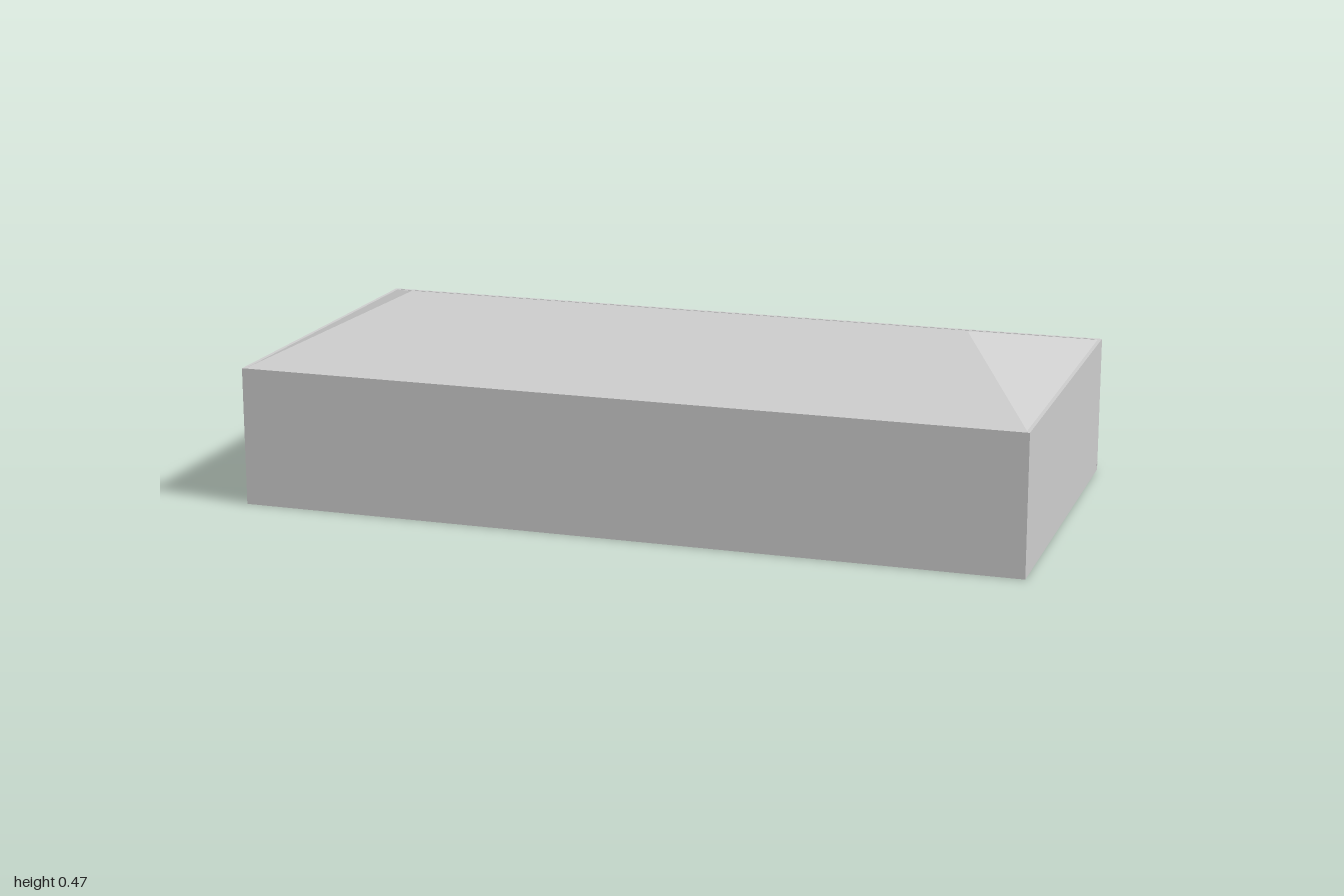
import * as THREE from 'three';
import { ConvexGeometry } from 'three/addons/geometries/ConvexGeometry.js';

const W = 1, D = 0.487, H = 0.355, T = 0.01; // half width, half depth, wall height, wall thickness

export function createModel() {
  const group = new THREE.Group();
  const mat = new THREE.MeshStandardMaterial({ color: 0xcccccc, flatShading: true });
  const add = (name, geo, x = 0, y = 0, z = 0) => {
    const mesh = new THREE.Mesh(geo, mat);
    mesh.name = name;
    mesh.position.set(x, y, z);
    group.add(mesh);
    return mesh;
  };
  const box = (name, w, h, d, x, y, z) => add(name, new THREE.BoxGeometry(w, h, d), x, y, z);

  // Floor slab and plain walls
  box('floor', 2 * W - 2 * T, T, 2 * D - 2 * T, 0, T / 2, 0);
  box('frontWall', 2 * W, H, T, 0, H / 2, D - T / 2);
  for (const [name, s] of [['leftWall', 1], ['rightWall', -1]]) {
    box(name, T, H, 2 * D - 2 * T, s * (W - T / 2), H / 2, 0);
  }
  box('partitionWall', T, H - T, 2 * D - 2 * T, -0.525, (H + T) / 2, 0);

  // Back wall with a doorway
  const wall = new THREE.Shape([[-W, 0], [W, 0], [W, H], [-W, H]].map(p => new THREE.Vector2(...p)));
  wall.holes.push(new THREE.Path([[-0.32, T], [-0.32, 0.165], [-0.24, 0.165], [-0.24, T]]
    .map(p => new THREE.Vector2(...p))));
  add('backWall', new THREE.ExtrudeGeometry(wall, { depth: T, bevelEnabled: false }), 0, 0, -D);

  // Small block set into the back corner
  box('cornerBlock', 0.008, 0.014, 0.008, W - 0.0035, 0.019, -D + 0.0045);

  // Hipped roof, set just inside the wall tops
  const points = [];
  for (const s of [-1, 1]) {
    points.push(new THREE.Vector3(s * 0.745, 0.467, 0));
    for (const t of [-1, 1]) points.push(new THREE.Vector3(s * (W - T / 2), H - 0.002, t * (D - T / 2)));
  }
  add('roof', new ConvexGeometry(points));
  return group;
}
